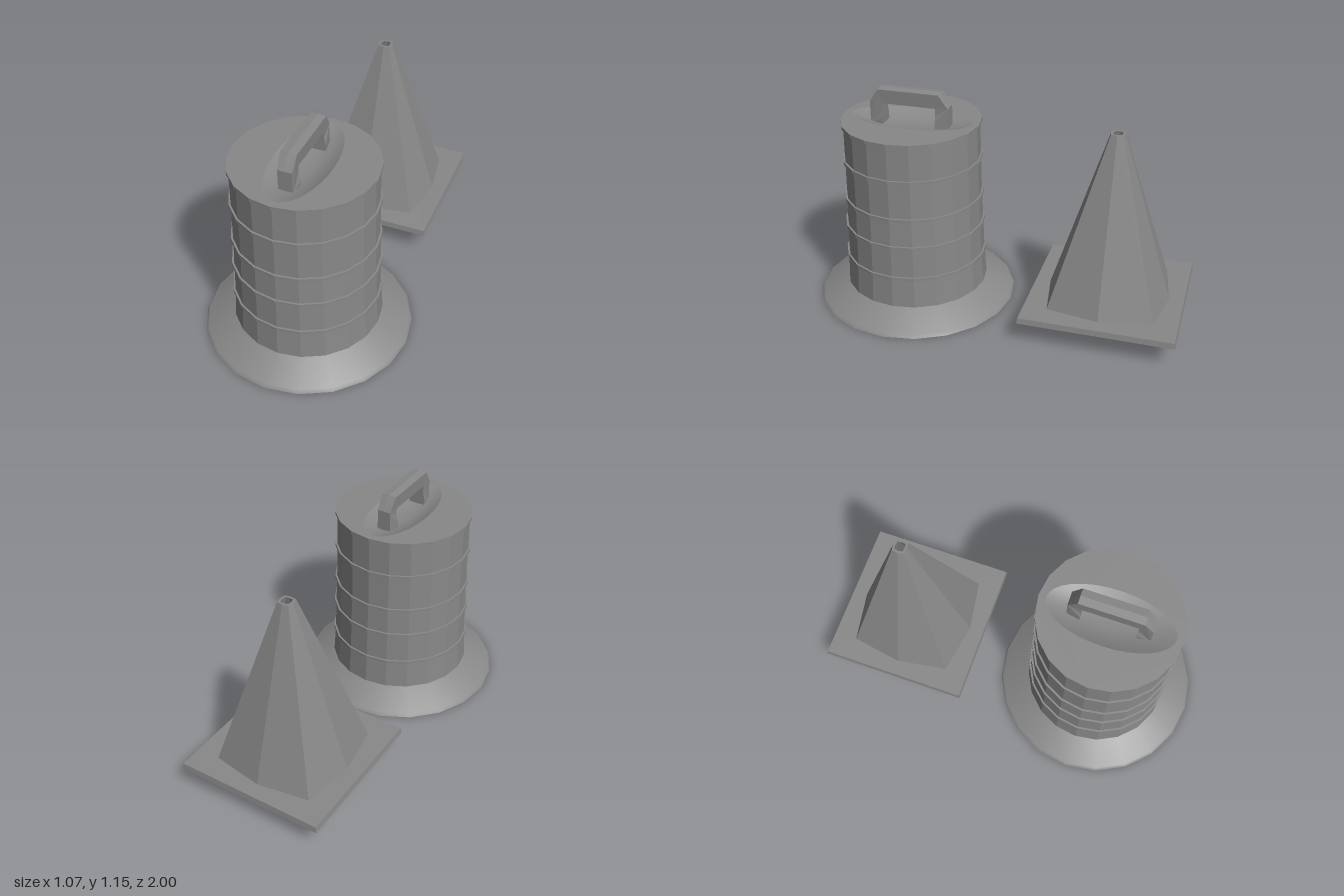
import * as THREE from 'three';

const flat = new THREE.MeshStandardMaterial({ color: 0x888888, flatShading: true });
const smooth = new THREE.MeshStandardMaterial({ color: 0x888888 });

function add(parent, name, geometry, material = flat) {
  const mesh = new THREE.Mesh(geometry, material);
  mesh.name = name;
  parent.add(mesh);
  return mesh;
}

const vecs = (pts) => pts.map(([a, b]) => new THREE.Vector2(a, b));
const lathe = (pts, sides) => new THREE.LatheGeometry(vecs(pts), sides);

// Points around an ellipse, used for outlines and holes
function ring(rx, ry, n) {
  return Array.from({ length: n }, (_, i) => {
    const a = (i / n) * Math.PI * 2;
    return new THREE.Vector2(Math.sin(a) * rx, Math.cos(a) * ry);
  });
}

// Move every vertex with a rule
function reshape(geometry, rule) {
  const p = geometry.attributes.position;
  const v = new THREE.Vector3();
  for (let i = 0; i < p.count; i++) {
    rule(v.fromBufferAttribute(p, i));
    p.setXYZ(i, v.x, v.y, v.z);
  }
  geometry.computeVertexNormals();
  return geometry;
}

function createDrum() {
  const SIDES = 20;
  const TOP = 0.999;
  const drum = new THREE.Group();
  drum.name = 'drum';

  // Weighted foot, hollow inside
  add(drum, 'footUnderside', lathe([[0, 0.93], [0.276, 0.93], [0.276, 0], [0.534, 0]], SIDES));
  add(drum, 'footSkirt', lathe([[0.534, 0], [0.522, 0.018], [0.38, 0.09]], SIDES), smooth);

  // Tapered body, with the ribs as steps in its profile
  const ribs = [[0.255, 0.369], [0.432, 0.364], [0.588, 0.358], [0.796, 0.355], [0.991, 0.353]];
  const profile = [[0.38, 0.088]];
  for (const [y, r] of ribs) {
    profile.push([r, y - 0.008], [r + 0.01, y - 0.008], [r + 0.01, y + 0.008]);
    if (y < 0.95) profile.push([r, y + 0.008]);
  }
  add(drum, 'body', lathe(profile, SIDES));

  // Lid with an oval recess under the handle
  const lidShape = new THREE.Shape(ring(0.363, 0.363, SIDES));
  lidShape.holes.push(new THREE.Path(ring(0.148, 0.325, 32)));
  const lid = add(drum, 'lid', new THREE.ShapeGeometry(lidShape).rotateX(-Math.PI / 2));
  lid.position.y = TOP;
  const dish = lathe([[1, 0], [0.85, -0.012], [0.6, -0.03], [0.3, -0.04], [0, -0.04]], 32);
  const recess = add(drum, 'lidRecess', dish.scale(0.148, 1, 0.325), smooth);
  recess.position.y = TOP;

  // Carrying handle with a slight crown, its feet widening inwards
  const half = [[0.21, 0.96], [0.21, 1.04], [0.21, 1.08], [0.162, 1.15]];
  const inner = [[0.142, 1.076], [0.142, 1.04], [0.142, 1.0], [0.142, 0.96]];
  const mirrored = (pts) => pts.map(([z, y]) => [-z, y]).reverse();
  const outline = [...half, ...mirrored(half), ...mirrored(inner), ...inner];
  const handle = new THREE.ExtrudeGeometry(new THREE.Shape(vecs(outline)), { depth: 1, steps: 2, bevelEnabled: false });
  handle.translate(0, 0, -0.5).rotateY(-Math.PI / 2);
  reshape(handle, (v) => {
    if (Math.abs(v.x) < 0.1) {
      if (v.y > 1.14) v.y += 0.005;
      return;
    }
    const foot = v.y < 1.01 && Math.abs(v.z) < 0.2;
    v.x = Math.sign(v.x) * (foot ? 0.045 : v.y < 1.1 ? 0.036 : 0.04);
  });
  add(drum, 'handle', handle);
  return drum;
}

function createCone() {
  const BULGE = 1.215;
  const cone = new THREE.Group();
  cone.name = 'trafficCone';

  // Eight sides, pushed out on the diagonals to a bulging square
  const wall = lathe([[0.315, 0.149], [0.036, 1.04], [0.024, 1.04], [0.2, 0.12]], 8);
  reshape(wall, (v) => {
    if (Math.abs(Math.abs(v.x) - Math.abs(v.z)) < 1e-4) { v.x *= BULGE; v.z *= BULGE; }
  });
  add(cone, 'coneWall', wall);

  // Square base plate with slightly drawn-in top edges
  const s = 0.397;
  const plateShape = new THREE.Shape(vecs([[-s, -s], [s, -s], [s, s], [-s, s]]));
  const hole = ring(0.2, 0.2, 8);
  hole.forEach((p, i) => { if (i % 2) p.multiplyScalar(BULGE); });
  plateShape.holes.push(new THREE.Path(hole));
  const plate = new THREE.ExtrudeGeometry(plateShape, { depth: 0.03, bevelEnabled: false });
  plate.rotateX(-Math.PI / 2).translate(0, 0.12, 0);
  reshape(plate, (v) => {
    if (Math.abs(v.x) > 0.39 && v.y > 0.145) { v.x *= 0.988; v.z *= 0.988; }
  });
  add(cone, 'basePlate', plate);
  return cone;
}

export function createModel() {
  const model = new THREE.Group();
  model.name = 'roadBarriers';
  const drum = createDrum();
  drum.position.z = 0.466;
  const cone = createCone();
  cone.position.z = -0.603;
  model.add(drum, cone);
  return model;
}
